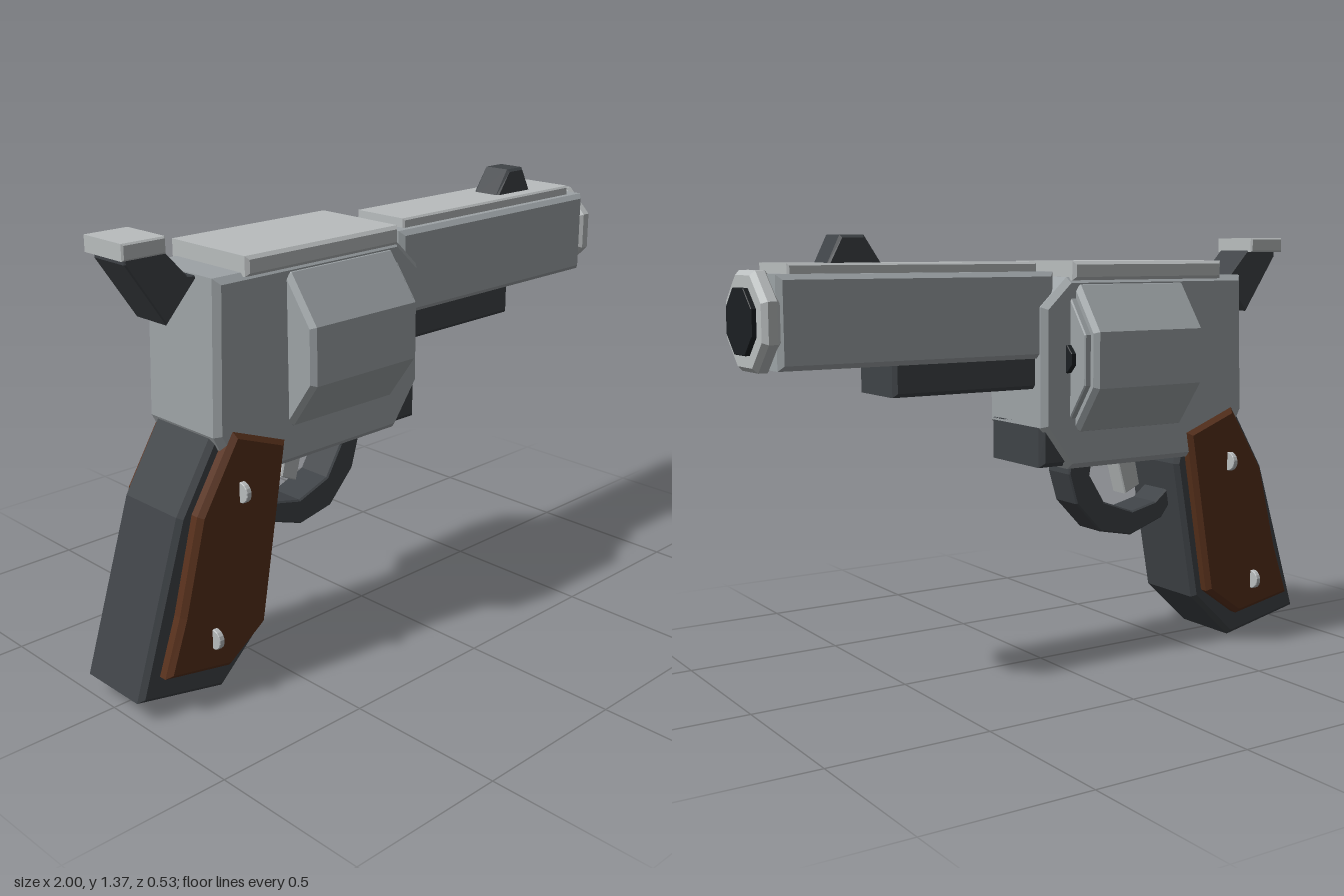
import * as THREE from 'three';

const mat = (color) => new THREE.MeshStandardMaterial({ color, flatShading: true });

export function createModel() {
  const group = new THREE.Group();
  const steel = mat(0x9da3a6), light = mat(0xb9bdbe), dark = mat(0x3f4347);
  const wood = mat(0x57301b), black = mat(0x1b1f22);

  const add = (name, geometry, material) => {
    const mesh = new THREE.Mesh(geometry, material);
    mesh.name = name;
    group.add(mesh);
    return mesh;
  };

  // Side outline extruded across z with a bevel that stays inside the outline
  const plate = (name, points, z0, z1, bevel, material) => {
    const shape = new THREE.Shape(points.map(([x, y]) => new THREE.Vector2(x, y)));
    const geometry = new THREE.ExtrudeGeometry(shape, {
      depth: z1 - z0 - 2 * bevel, bevelEnabled: bevel > 0, bevelThickness: bevel,
      bevelSize: bevel, bevelOffset: -bevel, bevelSegments: 1,
    });
    geometry.translate(0, 0, z0 + bevel);
    return add(name, geometry, material);
  };
  const block = (name, x0, x1, y0, y1, halfZ, bevel, material) =>
    plate(name, [[x0, y0], [x1, y0], [x1, y1], [x0, y1]], -halfZ, halfZ, bevel, material);

  // Chamfered prism along x, with flat sides facing +z and -z
  const prism = (name, sides, apothem, x0, x1, y, z, bevel, material) => {
    const r = apothem / Math.cos(Math.PI / sides);
    const profile = [[0, x0], [r - bevel, x0], [r, x0 + bevel], [r, x1 - bevel], [r - bevel, x1], [0, x1]]
      .map(([a, b]) => new THREE.Vector2(a, b));
    const geometry = new THREE.LatheGeometry(profile, sides, Math.PI / sides);
    geometry.rotateZ(-Math.PI / 2);
    geometry.translate(0, y, z);
    return add(name, geometry, material);
  };

  // Frame and top strap
  plate('frame', [[-0.7, 1.24], [-0.715, 0.79], [-0.64, 0.645], [-0.005, 0.645], [0.095, 0.78],
    [0.095, 1.15], [0.0, 1.24]], -0.16, 0.16, 0.018, steel);
  block('topStrap', -0.6, -0.01, 1.23, 1.288, 0.17, 0.01, light);
  block('frameLug', -0.06, 0.095, 0.655, 0.79, 0.147, 0.015, dark);

  // Rotating cylinder with chambers
  prism('cylinder', 10, 0.266, -0.45, -0.025, 0.99, 0, 0.015, steel);
  prism('cylinderFace', 10, 0.238, -0.04, -0.004, 0.99, 0, 0.004, steel);
  for (let i = 0; i < 6; i++) {
    const a = i * Math.PI / 3;
    prism('chamber', 8, 0.043, -0.03, 0.012, 0.99 + 0.147 * Math.sin(a), 0.147 * Math.cos(a), 0.002, black);
  }

  // Barrel, rib, underlug and muzzle
  block('barrel', 0.037, 0.94, 0.993, 1.257, 0.137, 0.015, steel);
  block('barrelRib', 0.08, 0.895, 1.24, 1.286, 0.102, 0.006, light);
  block('barrelUnderlug', 0.06, 0.58, 0.898, 1.01, 0.112, 0.012, dark);
  prism('muzzle', 8, 0.141, 0.928, 0.985, 1.126, 0, 0.015, light);
  prism('bore', 8, 0.093, 0.95, 1.0, 1.126, 0, 0.002, black);
  plate('frontSight', [[0.575, 1.275], [0.755, 1.275], [0.71, 1.365], [0.635, 1.365]], -0.052, 0.052, 0.008, dark);

  // Hammer and thumb spur
  plate('hammer', [[-0.8, 1.115], [-0.69, 1.235], [-0.725, 1.24], [-0.8, 1.32], [-0.925, 1.32], [-0.925, 1.3]],
    -0.07, 0.07, 0.004, dark);
  block('hammerSpur', -0.943, -0.803, 1.315, 1.362, 0.088, 0.005, light);

  // Trigger and guard
  plate('triggerGuard', [[-0.07, 0.61], [-0.075, 0.67], [-0.165, 0.67], [-0.152, 0.6], [-0.21, 0.507],
    [-0.325, 0.465], [-0.42, 0.487], [-0.5, 0.55], [-0.52, 0.52], [-0.45, 0.43], [-0.32, 0.385],
    [-0.195, 0.41], [-0.1, 0.51]], -0.061, 0.061, 0.005, dark);
  plate('trigger', [[-0.345, 0.68], [-0.375, 0.547], [-0.315, 0.52], [-0.27, 0.68]], -0.035, 0.035, 0.004, light);

  // Grip core
  plate('grip', [[-0.7, 0.8], [-0.835, 0.58], [-1, 0.062], [-0.7, 0], [-0.535, 0.155], [-0.45, 0.62],
    [-0.47, 0.72]], -0.132, 0.132, 0.015, dark);

  // Grip panels and screws on both sides
  const panel = [[-0.66, 0.8], [-0.47, 0.727], [-0.565, 0.18], [-0.7, 0.085], [-0.93, 0.128],
    [-0.87, 0.3], [-0.795, 0.583]];
  for (const side of [-1, 1]) {
    const [z0, z1] = side > 0 ? [0.12, 0.175] : [-0.175, -0.12];
    plate('gripPanel', panel, z0, z1, 0.015, wood);
    for (const [x, y] of [[-0.645, 0.62], [-0.76, 0.2]])
      prism('gripScrew', 16, 0.031, x - 0.009, x + 0.009, y, side * 0.177, 0.002, light);
  }
  return group;
}
